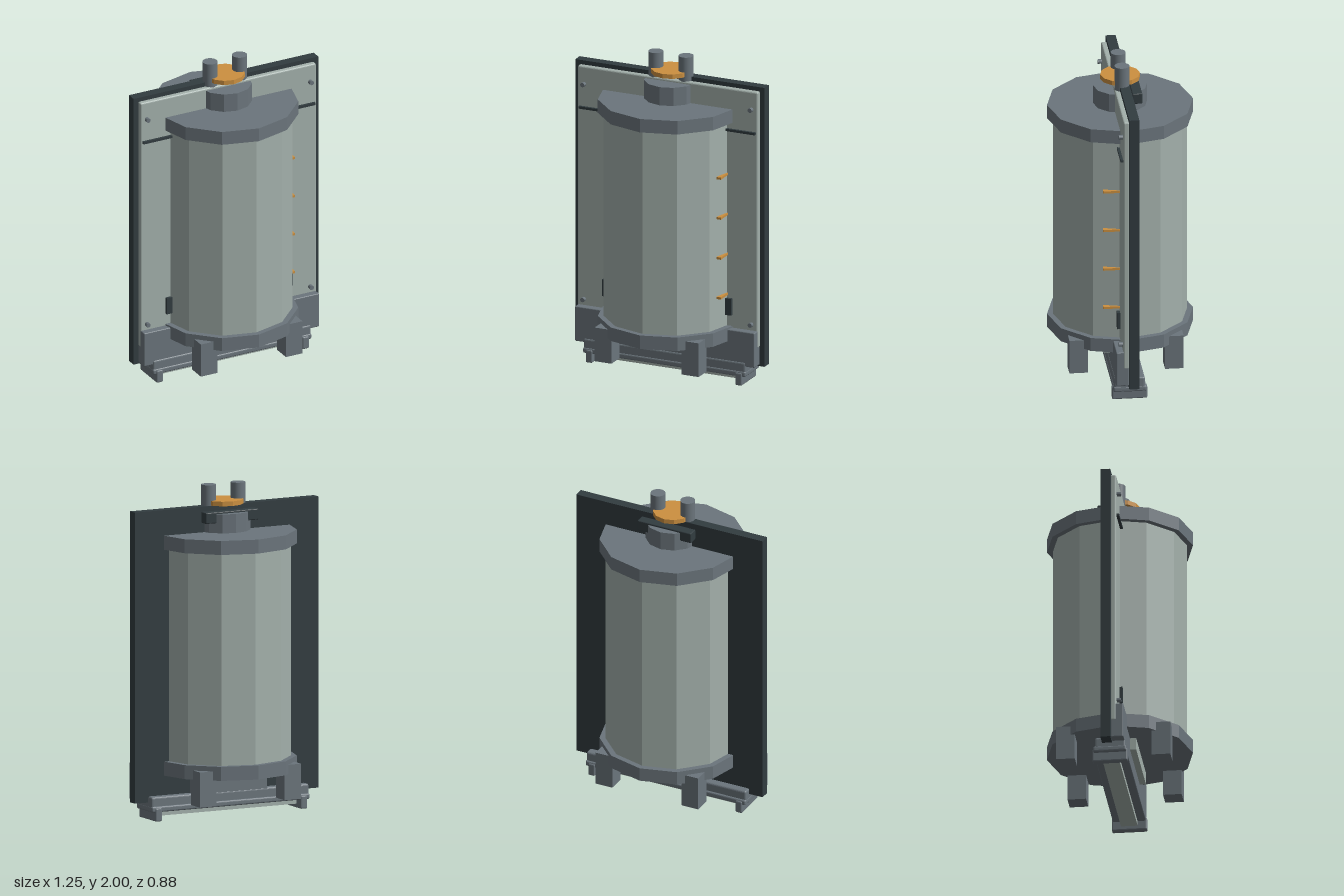
import * as THREE from 'three';
import { RoundedBoxGeometry } from 'three/addons/geometries/RoundedBoxGeometry.js';

const material = (color, flatShading = true) => new THREE.MeshStandardMaterial({ color, flatShading });
const steel = material(0x6b757c);
const pale = material(0xa3b0ab);
const dark = material(0x323c40);
const copper = material(0xcc9040);
const smoothSteel = material(0x6b757c, false);

export function createModel() {
  const model = new THREE.Group();

  const add = (name, geometry, mat) => {
    const mesh = new THREE.Mesh(geometry, mat);
    mesh.name = name;
    model.add(mesh);
    return mesh;
  };
  // Box given by its limits on each axis, with an optional rounded edge
  const box = (name, mat, [x0, x1], [y0, y1], [z0, z1], radius = 0) => {
    const size = [x1 - x0, y1 - y0, z1 - z0];
    const geometry = radius ? new RoundedBoxGeometry(...size, 2, radius) : new THREE.BoxGeometry(...size);
    add(name, geometry, mat).position.set((x0 + x1) / 2, (y0 + y1) / 2, (z0 + z1) / 2);
  };
  // Upright cylinder between two heights, with a corner on +z
  const drum = (name, mat, radius, y0, y1, sides = 12, x = 0) => {
    add(name, new THREE.CylinderGeometry(radius, radius, y1 - y0, sides), mat).position.set(x, (y0 + y1) / 2, 0);
  };

  // Mounting board with its facing panel
  box('backBoard', dark, [-0.625, 0.625], [0.11, 1.875], [-0.045, 0.015]);
  box('facePanel', pale, [-0.595, 0.595], [0.23, 1.85], [0.01, 0.047], 0.01);
  box('lowerBracket', steel, [-0.593, 0.593], [0.12, 0.34], [0.014, 0.09], 0.006);

  // Twelve-sided tank with end caps and neck
  drum('tankBody', pale, 0.405, 0.33, 1.65);
  drum('topCap', steel, 0.44, 1.635, 1.72);
  drum('bottomCap', steel, 0.44, 0.265, 0.35);
  drum('neck', steel, 0.163, 1.71, 1.835);
  drum('copperDisc', copper, 0.12, 1.877, 1.905);
  box('clampBar', dark, [-0.18, 0.18], [1.78, 1.847], [-0.115, -0.054], 0.006);

  // Four tank legs
  for (const sx of [-1, 1]) for (const sz of [-1, 1]) {
    const x = sx * 0.288, z = sz * 0.288, h = 0.056;
    box('tankLeg', steel, [x - h, x + h], [0.107, 0.32], [z - h, z + h]);
  }

  // Paired fittings on both sides
  for (const s of [-1, 1]) {
    drum('pipe', smoothSteel, 0.045, 1.72, 2, 20, s * 0.1);
    const span = (a, b) => (s > 0 ? [a, b] : [-b, -a]);
    box('panelSeam', dark, span(0.3, 0.582), [1.583, 1.598], [0.04, 0.063]);
    box('sideLatch', dark, span(0.36, 0.427), [0.42, 0.525], [0.04, 0.065]);
    for (const y of [0.378, 1.738]) {
      const screw = add('screw', new THREE.CylinderGeometry(0.014, 0.014, 0.035, 10), steel);
      screw.rotation.x = Math.PI / 2;
      screw.position.set(s * 0.553, y, 0.054);
    }
    box('railFoot', steel, span(0.472, 0.516), [0, 0.08], [-0.106, 0.106], 0.008);
  }

  // Level marks along the tank's left side
  for (const y of [0.55, 0.802, 1.055, 1.308]) {
    box('levelMark', copper, [0.37, 0.398], [y - 0.007, y + 0.007], [0.04, 0.146]);
  }

  // Base rail with centre blocks and a pale strip underneath
  box('railFlange', steel, [-0.537, 0.537], [0.055, 0.09], [-0.1, 0.1], 0.01);
  box('railBody', steel, [-0.535, 0.535], [0.06, 0.147], [-0.09, 0.095], 0.012);
  box('frontBlock', pale, [-0.25, 0.25], [0.19, 0.27], [0.08, 0.127]);
  box('rearBlock', steel, [-0.25, 0.25], [0.14, 0.27], [-0.088, -0.03]);
  box('railStrip', pale, [-0.475, 0.475], [0.025, 0.06], [-0.05, 0.05]);
  return model;
}
